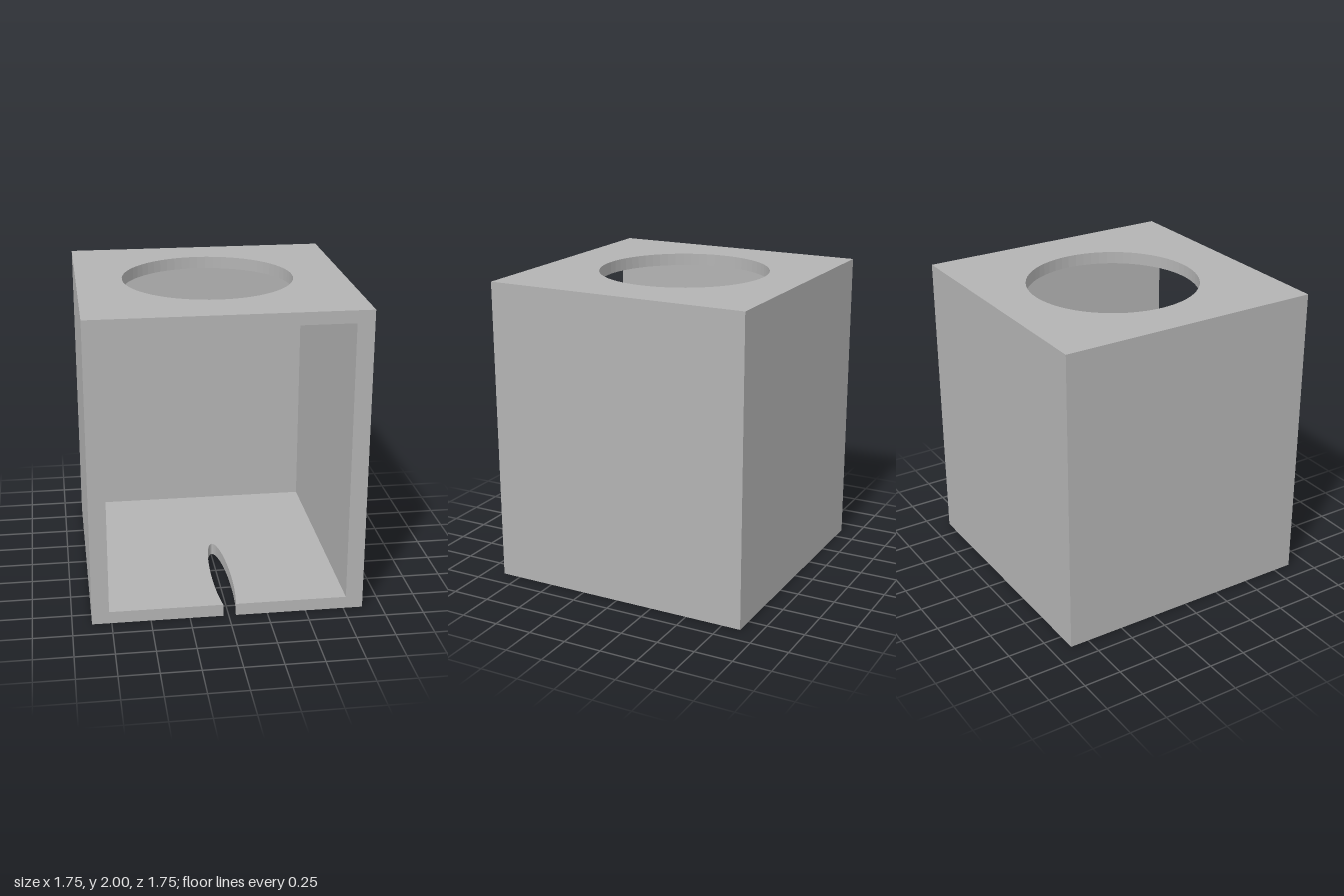
import * as THREE from 'three';

export function createModel() {
  const model = new THREE.Group();
  model.name = 'openBox';
  const grey = new THREE.MeshStandardMaterial({ color: 0xb3b3b3 });
  grey.name = 'grey';

  const half = 0.875, height = 2, slab = 0.08, side = 0.11, back = 0.075;

  const add = (name, geometry, x, y, z) => {
    const mesh = new THREE.Mesh(geometry, grey);
    mesh.name = name;
    mesh.position.set(x, y, z);
    model.add(mesh);
  };

  // Horizontal slab from a shape drawn in x and z, with its upper face at y
  const addSlab = (name, shape, y) => {
    const geometry = new THREE.ExtrudeGeometry(shape, { depth: slab, bevelEnabled: false, curveSegments: 32 });
    geometry.rotateX(Math.PI / 2);
    add(name, geometry, 0, y, 0);
  };

  // Floor with a half-open elliptical slot running in from the front edge
  const slot = { x: 0.005, z: 0.49, rx: 0.065, rz: 0.49 };
  const floor = new THREE.Shape();
  floor.moveTo(-half, -half);
  floor.lineTo(half, -half);
  floor.lineTo(half, half);
  const end = Math.asin((half - slot.z) / slot.rz);
  const steps = 36;
  for (let i = 0; i <= steps; i++) {
    const a = end - (i / steps) * (Math.PI + 2 * end);
    floor.lineTo(slot.x + slot.rx * Math.cos(a), slot.z + slot.rz * Math.sin(a));
  }
  floor.lineTo(-half, half);
  floor.closePath();
  addSlab('floor', floor, slab);

  // Top panel with a round hole
  const top = new THREE.Shape();
  top.moveTo(-half, -half);
  top.lineTo(half, -half);
  top.lineTo(half, half);
  top.lineTo(-half, half);
  top.closePath();
  top.holes.push(new THREE.Path().absarc(-0.02, -0.025, 0.557, 0, Math.PI * 2, true));
  addSlab('topPanel', top, height);

  // Side walls and back wall between the slabs; the front stays open
  const wallHeight = height - 2 * slab;
  for (const [name, s] of [['leftWall', 1], ['rightWall', -1]]) {
    add(name, new THREE.BoxGeometry(side, wallHeight, 2 * half), s * (half - side / 2), height / 2, 0);
  }
  add('backWall', new THREE.BoxGeometry(2 * (half - side), wallHeight, back), 0, height / 2, -half + back / 2);

  return model;
}
